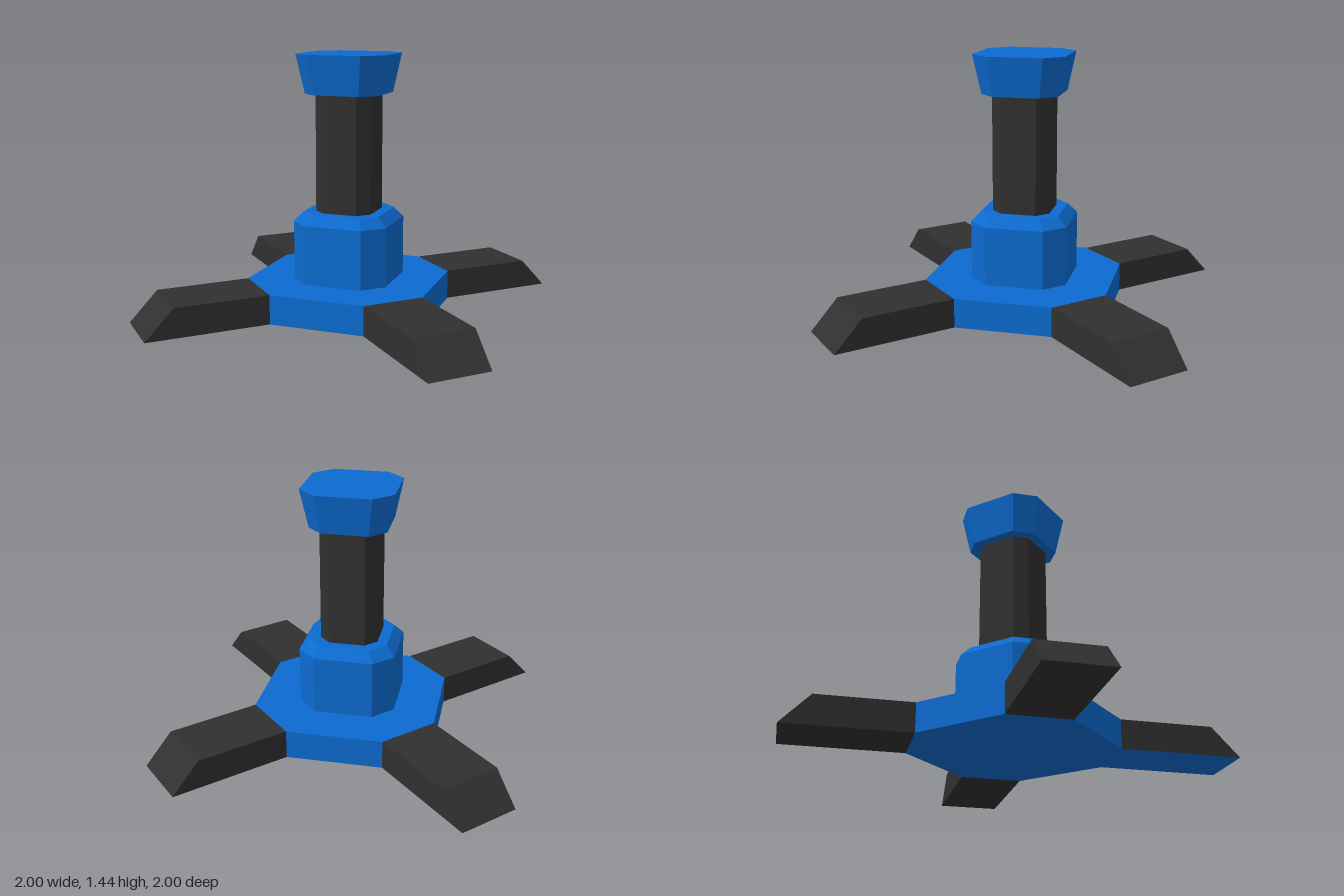
import * as THREE from 'three';

const blue = new THREE.MeshStandardMaterial({ color: 0x0c6bd0, flatShading: true });
const dark = new THREE.MeshStandardMaterial({ color: 0x303030, flatShading: true });

// Corners of a chamfered square: half is the flat's distance, corner the chamfer start
function octagon(half, corner) {
  const ring = [];
  for (let k = 0; k < 4; k++) {
    const c = Math.round(Math.cos(k * Math.PI / 2)), s = Math.round(Math.sin(k * Math.PI / 2));
    for (const [x, z] of [[half, -corner], [half, corner]]) ring.push([x * c - z * s, x * s + z * c]);
  }
  return ring;
}

// Closed solid through octagonal levels [y, half, corner], bottom to top
function octagonSolid(name, material, levels) {
  const rings = levels.map(([y, half, corner]) => octagon(half, corner).map(([x, z]) => [x, y, z]));
  const positions = [];
  const triangle = (a, b, c) => positions.push(...a, ...b, ...c);
  for (let r = 0; r < rings.length - 1; r++) {
    for (let i = 0; i < 8; i++) {
      const j = (i + 1) % 8, low = rings[r], high = rings[r + 1];
      triangle(low[i], high[i], high[j]);
      triangle(low[i], high[j], low[j]);
    }
  }
  const bottom = rings[0], top = rings[rings.length - 1];
  for (let i = 1; i < 7; i++) {
    triangle(bottom[0], bottom[i], bottom[i + 1]);
    triangle(top[0], top[i + 1], top[i]);
  }
  const geometry = new THREE.BufferGeometry();
  geometry.setAttribute('position', new THREE.Float32BufferAttribute(positions, 3));
  geometry.computeVertexNormals();
  const mesh = new THREE.Mesh(geometry, material);
  mesh.name = name;
  return mesh;
}

// Foot bar along +x with a sloped outer end
function legGeometry() {
  const inner = 0.555, outer = 1.239, outerTop = 1.082, height = 0.165;
  const geometry = new THREE.BoxGeometry(outer - inner, height, 0.35);
  geometry.translate((inner + outer) / 2, height / 2, 0);
  const p = geometry.attributes.position;
  for (let i = 0; i < p.count; i++) {
    if (p.getX(i) > 1 && p.getY(i) > 0.1) p.setX(i, outerTop);
  }
  geometry.computeVertexNormals();
  return geometry;
}

export function createModel() {
  const model = new THREE.Group();
  model.name = 'pedestalStand';

  // Base plate, socket, post and flared cap
  model.add(
    octagonSolid('hub', blue, [[0, 0.517, 0.268], [0.165, 0.517, 0.268]]),
    octagonSolid('socket', blue, [[0.165, 0.273, 0.165], [0.5, 0.273, 0.165], [0.555, 0.222, 0.138]]),
    octagonSolid('post', dark, [[0.555, 0.163, 0.1], [1.22, 0.163, 0.1]]),
    octagonSolid('cap', blue, [[1.22, 0.215, 0.13], [1.44, 0.258, 0.156]]),
  );

  // Four diagonal legs; the front left one has a blue underside
  const geometry = legGeometry();
  ['frontLeftLeg', 'backLeftLeg', 'backRightLeg', 'frontRightLeg'].forEach((name, i) => {
    const material = i === 0 ? [dark, dark, dark, blue, dark, dark] : dark;
    const leg = new THREE.Mesh(geometry, material);
    leg.name = name;
    leg.rotation.y = -Math.PI / 4 + i * Math.PI / 2;
    model.add(leg);
  });
  return model;
}
